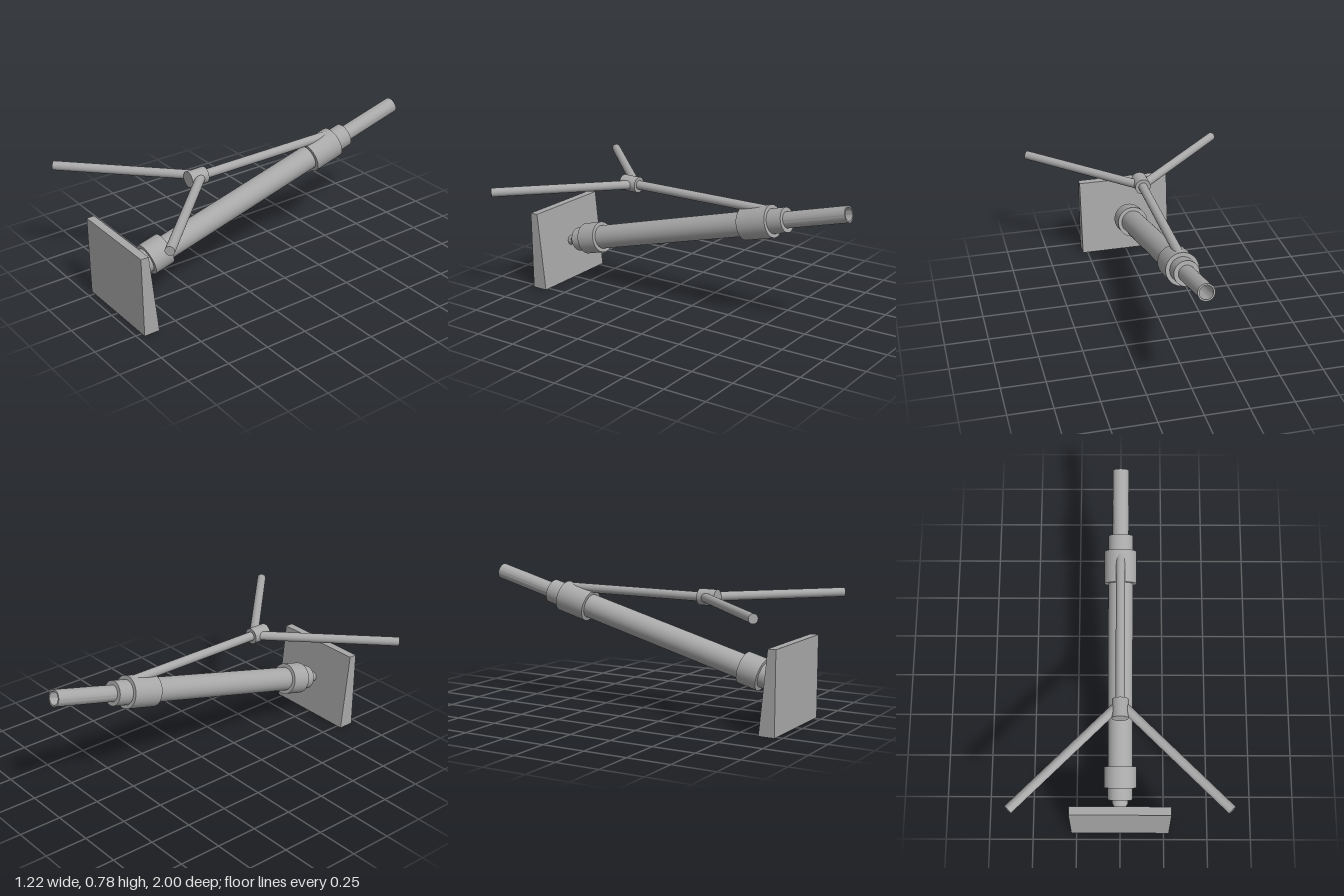
import * as THREE from 'three';
import { toCreasedNormals } from 'three/addons/utils/BufferGeometryUtils.js';

const gunmetal = new THREE.MeshStandardMaterial({ color: 0xa8a8a8 });

function add(parent, name, geometry) {
  const mesh = new THREE.Mesh(geometry, gunmetal);
  mesh.name = name;
  parent.add(mesh);
  return mesh;
}

// Solid round bar between two points
function bar(parent, name, radius, a, b) {
  const from = new THREE.Vector3(...a);
  const to = new THREE.Vector3(...b);
  const dir = to.clone().sub(from);
  const mesh = add(parent, name, new THREE.CylinderGeometry(radius, radius, dir.length(), 48));
  mesh.position.copy(from).add(to).multiplyScalar(0.5);
  mesh.quaternion.setFromUnitVectors(new THREE.Vector3(0, 1, 0), dir.normalize());
  return mesh;
}

// Turned part with crisp edges
function turned(parent, name, profile) {
  const points = profile.map(([r, y]) => new THREE.Vector2(r, y));
  return add(parent, name, toCreasedNormals(new THREE.LatheGeometry(points, 48), 0.6));
}

export function createModel() {
  const model = new THREE.Group();
  model.name = 'launcher';

  // Tube assembly, built along its own y axis and tilted 15 degrees above horizontal
  const tube = new THREE.Group();
  tube.name = 'tubeAssembly';
  tube.position.y = 0.474;
  tube.rotation.x = -THREE.MathUtils.degToRad(75);
  model.add(tube);

  bar(tube, 'barrel', 0.07, [0, -0.857, 0], [0, 0.642, 0]);
  bar(tube, 'lowerCollar', 0.092, [0, -0.79, 0], [0, -0.67, 0]);
  bar(tube, 'upperCollar', 0.092, [0, 0.367, 0], [0, 0.552, 0]);

  // Hollow muzzle
  turned(tube, 'muzzle', [
    [0.037, 0.6], [0.046, 0.6], [0.046, 1.023], [0.037, 1.023], [0.037, 0.6],
  ]);

  // Rounded breech cap and the pin that seats in the base plate
  const breech = add(tube, 'breechCap', new THREE.SphereGeometry(0.046, 40, 24));
  breech.position.y = -0.862;
  bar(tube, 'breechPin', 0.028, [0, -0.945, 0], [0, -0.88, 0]);

  // Base plate: wedge profile (z, y) extruded across x
  const wedge = new THREE.Shape([
    [-0.963, 0], [-0.87, 0], [-0.916, 0.47], [-0.963, 0.47],
  ].map(([x, y]) => new THREE.Vector2(x, y)));
  const plate = new THREE.ExtrudeGeometry(wedge, { depth: 0.56, bevelEnabled: false });
  plate.translate(0, 0, -0.28).rotateY(Math.PI / 2);
  add(model, 'basePlate', plate);

  // Folded bipod: brace, hub and two spread legs
  const y = 0.673;
  const bipod = new THREE.Group();
  bipod.name = 'bipod';
  model.add(bipod);
  bar(bipod, 'brace', 0.026, [0, y, 0.4], [0, y, -0.5]);
  bar(bipod, 'hub', 0.046, [0, y, 0.37], [0, y, 0.478]);
  for (const side of [1, -1]) {
    bar(bipod, side > 0 ? 'leftLeg' : 'rightLeg', 0.026, [0, y, 0.39], [side * 0.592, y, 0.981]);
  }

  return model;
}
